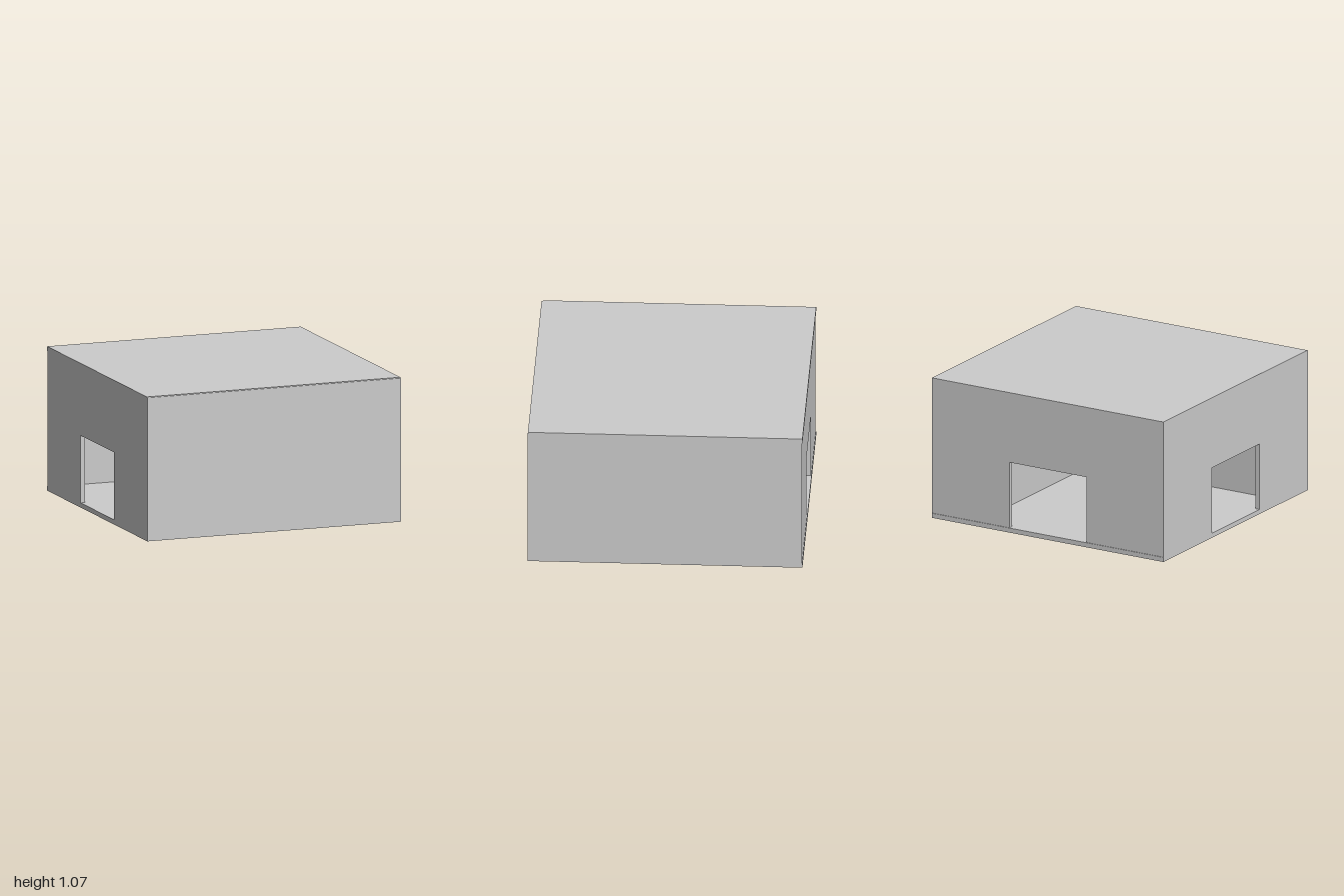
import * as THREE from 'three';

const T = 0.035;              // thin wall and slab thickness
const H = 1.07;               // overall height
const X = 0.99;               // half width
const DOOR = 0.33;            // half width of a doorway
const DOOR_TOP = 0.535;
const INNER = 0.6;            // inner face of the two thick walls

export function createModel() {
  const group = new THREE.Group();
  const material = new THREE.MeshStandardMaterial({ color: 0xcccccc, flatShading: true });

  const add = (name, geometry) => {
    const mesh = new THREE.Mesh(geometry, material);
    mesh.name = name;
    group.add(mesh);
    return mesh;
  };

  // Box given by its extents on each axis
  const box = (name, [x0, x1], [y0, y1], [z0, z1]) =>
    add(name, new THREE.BoxGeometry(x1 - x0, y1 - y0, z1 - z0))
      .position.set((x0 + x1) / 2, (y0 + y1) / 2, (z0 + z1) / 2);

  // Thin wall outline running from a to b, with a doorway cut up from the floor
  const doorWall = (name, a, b) => {
    const points = [
      [a, T], [-DOOR, T], [-DOOR, DOOR_TOP], [DOOR, DOOR_TOP],
      [DOOR, T], [b, T], [b, H - T], [a, H - T],
    ].map(([u, v]) => new THREE.Vector2(u, v));
    return add(name, new THREE.ExtrudeGeometry(new THREE.Shape(points), { depth: T, bevelEnabled: false }));
  };

  // Floor and ceiling slabs
  box('floor', [-X, X], [0, T], [-1, 0.99]);
  box('ceiling', [-X, X], [H - T, H], [-1, 0.99]);

  // Closed thick walls, with a facing over the front
  box('frontWall', [-X, X], [T, H - T], [INNER, 0.99]);
  box('frontFacing', [-X, X], [0, H - 0.005], [0.99, 1]);
  box('leftWall', [INNER, X], [T, H - T], [-0.96, INNER]);

  // Thin walls with doorways, the back one set in slightly from the slabs
  doorWall('backWall', -X, X).position.z = -0.995;
  const side = doorWall('rightWall', -INNER, 0.96);
  side.rotation.y = Math.PI / 2;
  side.position.x = -X;

  return group;
}
